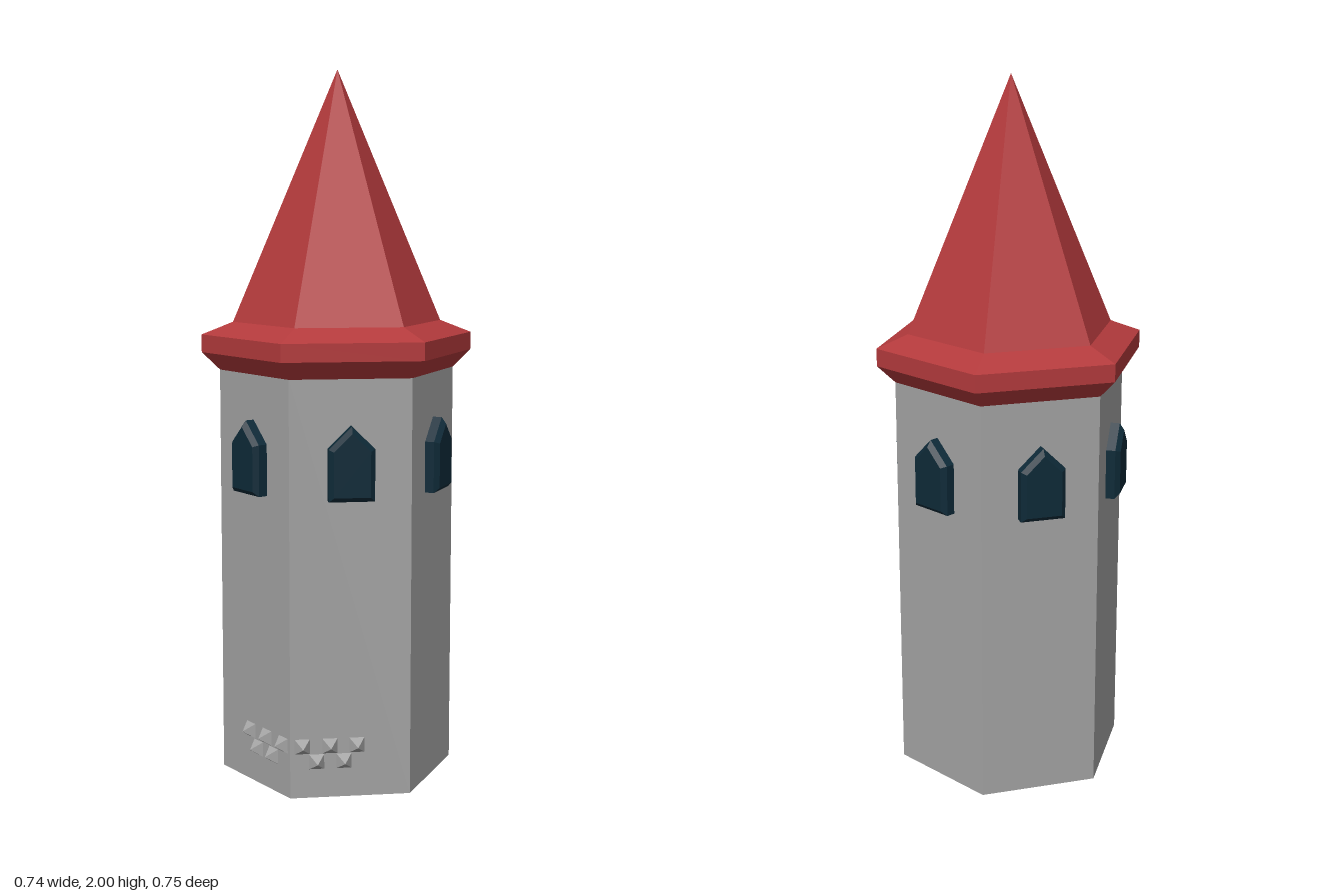
import * as THREE from 'three';

const SIDES = 6;
const TWIST = THREE.MathUtils.degToRad(-12.7); // turn of the hexagon about y
const STEP = Math.PI * 2 / SIDES;
const WALL_R = 0.335;
const APOTHEM = WALL_R * Math.cos(Math.PI / SIDES);

function material(name, color, extra = {}) {
  const m = new THREE.MeshStandardMaterial({ color, flatShading: true, ...extra });
  m.name = name;
  return m;
}

function part(name, geometry, mat) {
  const mesh = new THREE.Mesh(geometry, mat);
  mesh.name = name;
  return mesh;
}

// Six-sided solid from [radius, height] pairs, bottom to top
function hexLathe(profile) {
  const points = profile.map(([r, y]) => new THREE.Vector2(r, y));
  const geometry = new THREE.LatheGeometry(points, SIDES, TWIST).toNonIndexed();
  geometry.computeVertexNormals();
  return geometry;
}

// Group whose origin is the foot of wall face i, with +z pointing outward
function wallFace(i, name) {
  const pivot = new THREE.Group();
  pivot.name = name;
  pivot.rotation.y = TWIST + (i + 0.5) * STEP;
  return pivot;
}

export function createModel() {
  const model = new THREE.Group();
  model.name = 'tower';

  const stone = material('grey stone', 0xa3a3a3, { side: THREE.DoubleSide });
  const tile = material('red roof', 0xb33a3c, { side: THREE.DoubleSide });
  const glass = material('dark window', 0x0e2a38);

  // Hollow shaft and the ring it stands on
  model.add(part('wall', hexLathe([[WALL_R, 0], [WALL_R, 1.17]]), stone));
  const ring = new THREE.RingGeometry(0.215, WALL_R, SIDES, 1, Math.PI / 2 - TWIST);
  ring.rotateX(Math.PI / 2);
  model.add(part('baseRing', ring, stone));

  // Flared eaves and spire
  model.add(part('eaves', hexLathe([
    [WALL_R, 1.165], [0.386, 1.215], [0.386, 1.265], [0.297, 1.3],
  ]), tile));
  model.add(part('spire', hexLathe([[0.297, 1.3], [0, 2]]), tile));

  // Pointed window with a bevelled front, one per face
  const outline = new THREE.Shape();
  outline.moveTo(-0.063, 0.835);
  outline.lineTo(0.063, 0.835);
  outline.lineTo(0.063, 0.978);
  outline.lineTo(0, 1.04);
  outline.lineTo(-0.063, 0.978);
  outline.closePath();
  const windowGeometry = new THREE.ExtrudeGeometry(outline, {
    depth: 0.026, bevelEnabled: true, bevelThickness: 0.013,
    bevelSize: 0.013, bevelOffset: -0.013, bevelSegments: 1,
  });
  for (let i = 0; i < SIDES; i++) {
    const face = wallFace(i, 'windowFace');
    const pane = part('window', windowGeometry, glass);
    pane.position.z = APOTHEM;
    face.add(pane);
    model.add(face);
  }

  // Pyramid studs in two staggered rows, running around the front corner
  const studGeometry = new THREE.ConeGeometry(0.042 / Math.SQRT2, 0.03, 4, 1, true, Math.PI / 4)
    .toNonIndexed();
  studGeometry.rotateX(Math.PI / 2);
  studGeometry.computeVertexNormals();
  const studRows = [
    { face: 0, y: 0.147, across: [-0.134, -0.057, 0.018] },
    { face: 0, y: 0.103, across: [-0.094, -0.018] },
    { face: -1, y: 0.147, across: [-0.023, 0.056, 0.135] },
    { face: -1, y: 0.103, across: [0.014, 0.088] },
  ];
  for (const row of studRows) {
    const face = wallFace(row.face, 'studRow');
    for (const x of row.across) {
      const stud = part('stud', studGeometry, stone);
      stud.position.set(x, row.y, APOTHEM + 0.015);
      face.add(stud);
    }
    model.add(face);
  }

  return model;
}
